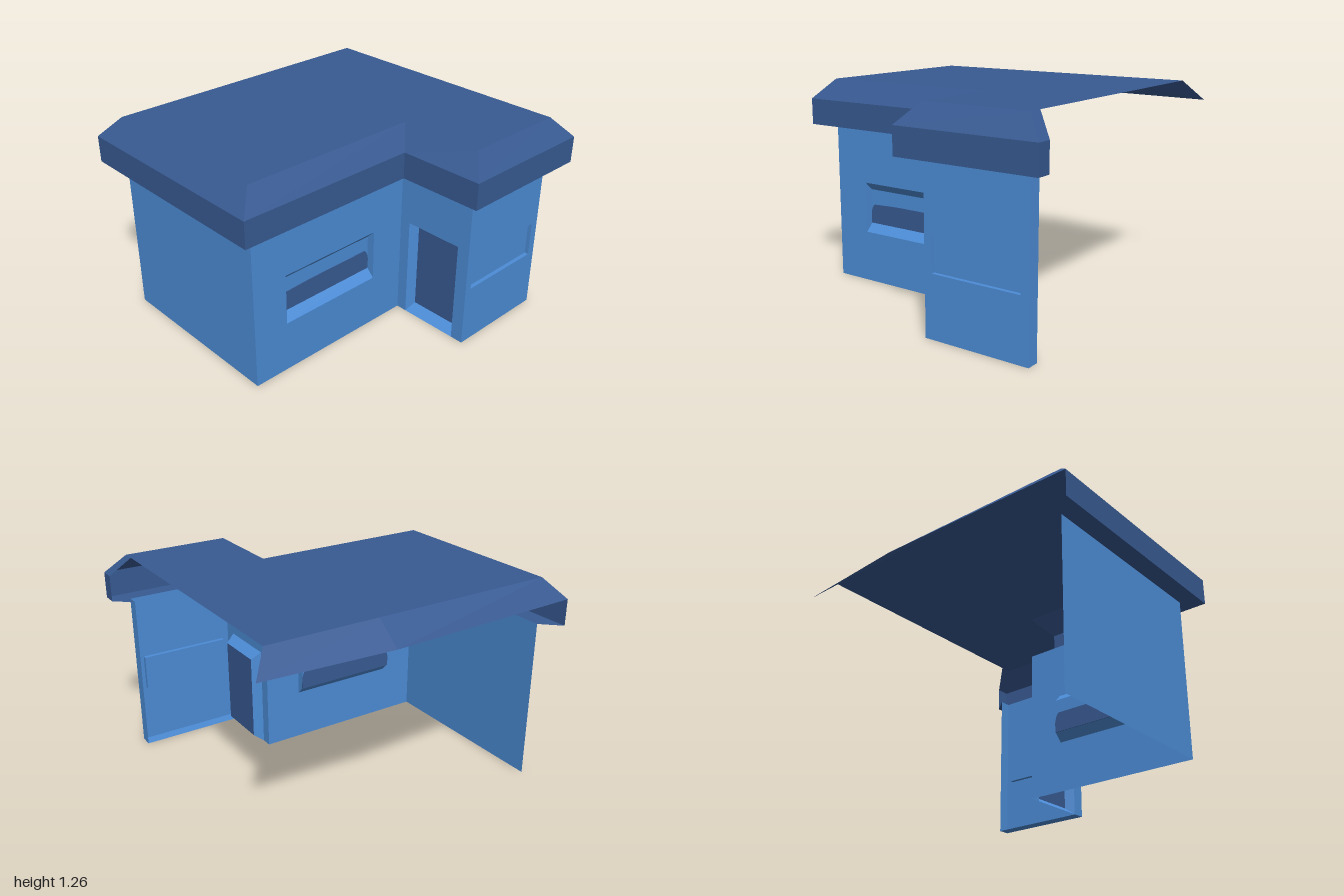
import * as THREE from 'three';

const wallBlue = new THREE.MeshStandardMaterial({ color: 0x4c8cd6, side: THREE.DoubleSide });
wallBlue.name = 'wall blue';
const roofNavy = new THREE.MeshStandardMaterial({ color: 0x385a92, side: THREE.DoubleSide });
roofNavy.name = 'roof navy';

// Flat-shaded mesh from a list of four-cornered faces
function quadMesh(name, quads, material) {
  const pos = [];
  for (const [a, b, c, d] of quads) pos.push(...a, ...b, ...c, ...a, ...c, ...d);
  const geo = new THREE.BufferGeometry();
  geo.setAttribute('position', new THREE.Float32BufferAttribute(pos, 3));
  geo.computeVertexNormals();
  const mesh = new THREE.Mesh(geo, material);
  mesh.name = name;
  return mesh;
}

// Corners of the rectangle [s0, y0, s1, y1] at depth z, anticlockwise
const corners = ([s0, y0, s1, y1], z = 0) => [[s0, y0, z], [s1, y0, z], [s1, y1, z], [s0, y1, z]];

// Wall from plan point a to b (left to right seen from outside), with an optional recess
function makeWall(name, a, b, height, recess) {
  const group = new THREE.Group();
  group.name = name;
  const dx = b[0] - a[0], dz = b[1] - a[1], len = Math.hypot(dx, dz);
  group.position.set(a[0], 0, a[1]);
  group.rotation.y = Math.atan2(-dz, dx);
  if (!recess) {
    group.add(quadMesh(name + 'Face', [corners([0, 0, len, height])], wallBlue));
    return group;
  }
  const [s0, y0, s1, y1] = recess.outer;
  const around = [[0, 0, s0, height], [s1, 0, len, height], [s0, y1, s1, height]];
  if (y0 > 0) around.push([s0, 0, s1, y0]);
  group.add(quadMesh(name + 'Face', around.map((r) => corners(r)), wallBlue));
  // Sloping frame from the opening to the panel at the back of the recess
  const o = corners(recess.outer), n = corners(recess.inner, -recess.depth);
  const frame = o.map((p, i) => [p, o[(i + 1) % 4], n[(i + 1) % 4], n[i]]);
  group.add(quadMesh(name + 'Frame', frame, wallBlue));
  group.add(quadMesh(name + 'Panel', [n], recess.material));
  return group;
}

export function createModel() {
  const model = new THREE.Group();
  model.name = 'house';

  const EAVE = 1.14, TOP = 1.26, SOFFIT = 0.98;
  // Plan points [x, z] of the walls and of the overhanging eaves
  const plan = [[-0.815, 0.89], [0.335, 0.89], [0.335, -0.24], [0.855, -0.24], [0.855, -0.89], [0.78, -0.89]];
  const eaves = [[-0.92, 1], [0.44, 1], [0.44, -0.13], [0.96, -0.13], [0.96, -1], [0.87, -1]];

  // Walls
  const recesses = {
    sideWall: { outer: [0.225, 0.315, 0.9, 0.63], inner: [0.225, 0.365, 0.9, 0.58], depth: 0.05, material: wallBlue },
    doorWall: { outer: [0.068, 0, 0.44, 0.63], inner: [0.093, 0.045, 0.415, 0.585], depth: 0.06, material: roofNavy },
    rightWall: { outer: [0.045, 0.365, 0.6, 0.58], inner: [0.045, 0.365, 0.6, 0.58], depth: 0.025, material: wallBlue },
  };
  const names = ['frontWall', 'sideWall', 'doorWall', 'rightWall', 'backReturn'];
  const walls = names.map((name, i) => makeWall(name, plan[i], plan[i + 1], SOFFIT, recesses[name]));
  model.add(...walls);

  // Dark glass with rounded top corners, a thin plate through the side window panel
  const glass = new THREE.Shape();
  glass.moveTo(0.225, 0.365);
  glass.lineTo(0.9, 0.365);
  glass.lineTo(0.9, 0.43);
  glass.quadraticCurveTo(0.89, 0.488, 0.87, 0.492);
  glass.lineTo(0.44, 0.492);
  glass.lineTo(0.26, 0.485);
  glass.quadraticCurveTo(0.235, 0.485, 0.225, 0.43);
  const glassGeo = new THREE.ExtrudeGeometry(glass, { depth: 0.008, bevelEnabled: false });
  const glassMesh = new THREE.Mesh(glassGeo, roofNavy);
  glassMesh.name = 'windowGlass';
  glassMesh.position.z = -0.054;
  walls[1].add(glassMesh);

  // Narrow floor strip along the right wall
  model.add(quadMesh('floorStrip', [[[0.78, 0, -0.24], [0.855, 0, -0.24], [0.855, 0, -0.89], [0.78, 0, -0.89]]], wallBlue));

  // Flat roof top
  const roofShape = new THREE.Shape([...plan.slice(0, 5), [-0.815, -0.89]].map(([x, z]) => new THREE.Vector2(x, -z)));
  const roofTop = new THREE.Mesh(new THREE.ShapeGeometry(roofShape).rotateX(-Math.PI / 2), roofNavy);
  roofTop.name = 'roofTop';
  roofTop.position.y = TOP;
  model.add(roofTop);

  // Roof edge: slope, fascia and soffit follow the eaves
  const at = ([x, z], y) => [x, y, z];
  const band = (lower, y0, upper, y1) => lower.slice(1).map((p, i) =>
    [at(lower[i], y0), at(p, y0), at(upper[i + 1], y1), at(upper[i], y1)]);
  model.add(quadMesh('roofSlope', band(eaves, EAVE, plan, TOP), roofNavy));
  model.add(quadMesh('fascia', band(eaves, SOFFIT, eaves, EAVE), roofNavy));
  model.add(quadMesh('soffit', band(plan, SOFFIT, eaves, SOFFIT), roofNavy));

  // Left slope, slightly bowed outward in the middle
  const mid = [-0.965, EAVE, -0.23], ridgeMid = [-0.815, TOP, -0.23];
  model.add(quadMesh('leftSlope', [
    [[-0.92, EAVE, -0.99], mid, ridgeMid, [-0.815, TOP, -0.89]],
    [mid, [-0.92, EAVE, 1], [-0.815, TOP, 0.89], ridgeMid],
  ], roofNavy));

  return model;
}
